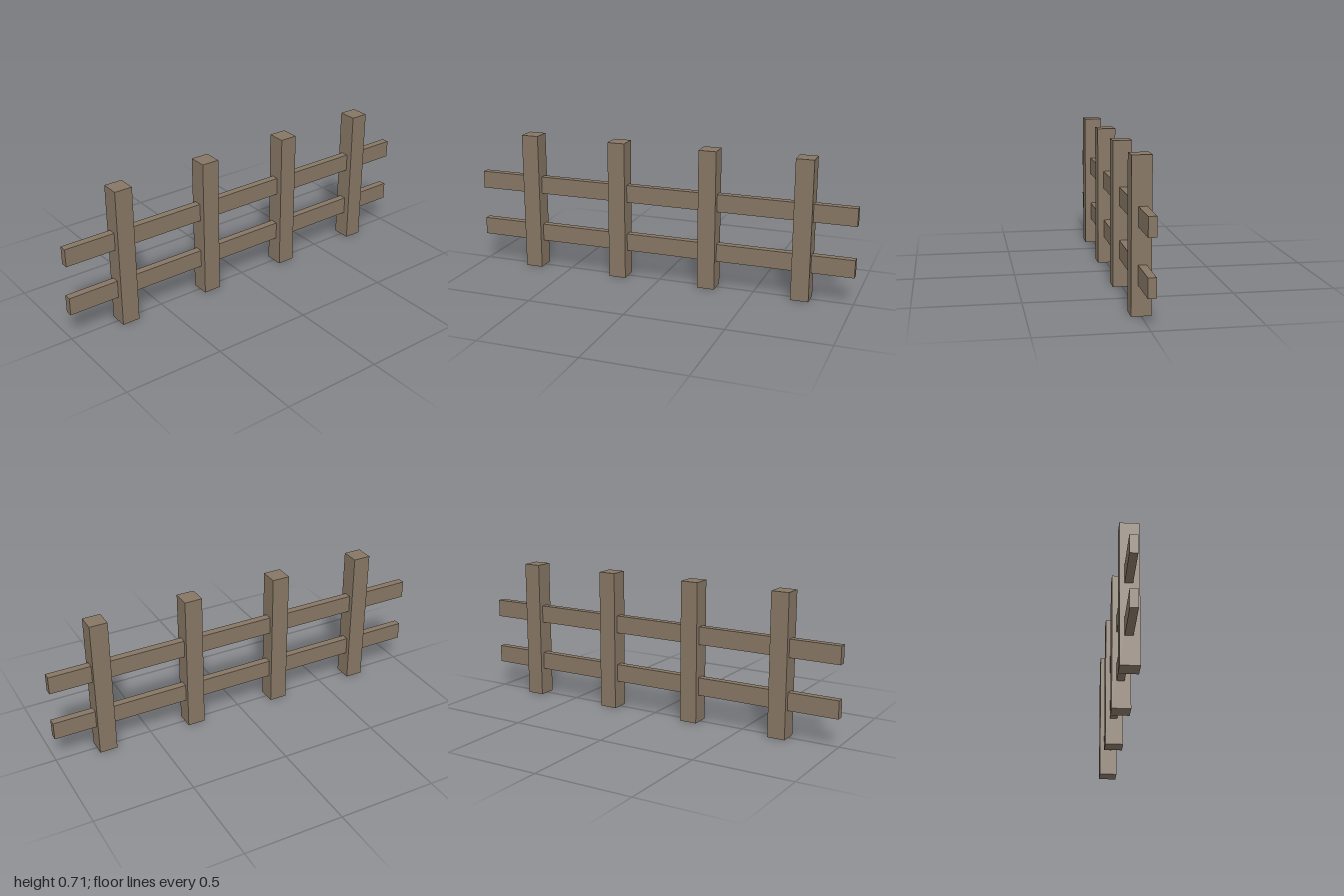
import * as THREE from 'three';

export function createModel() {
  const fence = new THREE.Group();
  fence.name = 'fence';
  const wood = new THREE.MeshStandardMaterial({ color: 0x867664 });
  wood.name = 'weathered wood';

  const addBeam = (name, size, position) => {
    const beam = new THREE.Mesh(new THREE.BoxGeometry(...size), wood);
    beam.name = name;
    beam.position.set(...position);
    fence.add(beam);
  };

  // Four evenly spaced square posts
  const postHeight = 0.713;
  for (let i = 0; i < 4; i++) {
    addBeam(`post${i + 1}`, [0.092, postHeight, 0.09], [0, postHeight / 2, 0.7 - i * 0.481]);
  }

  // Two long rails running through the posts, slightly off centre
  addBeam('lowerRail', [0.038, 0.09, 2], [-0.004, 0.186, 0]);
  addBeam('upperRail', [0.038, 0.09, 2], [-0.004, 0.445, 0]);

  return fence;
}
